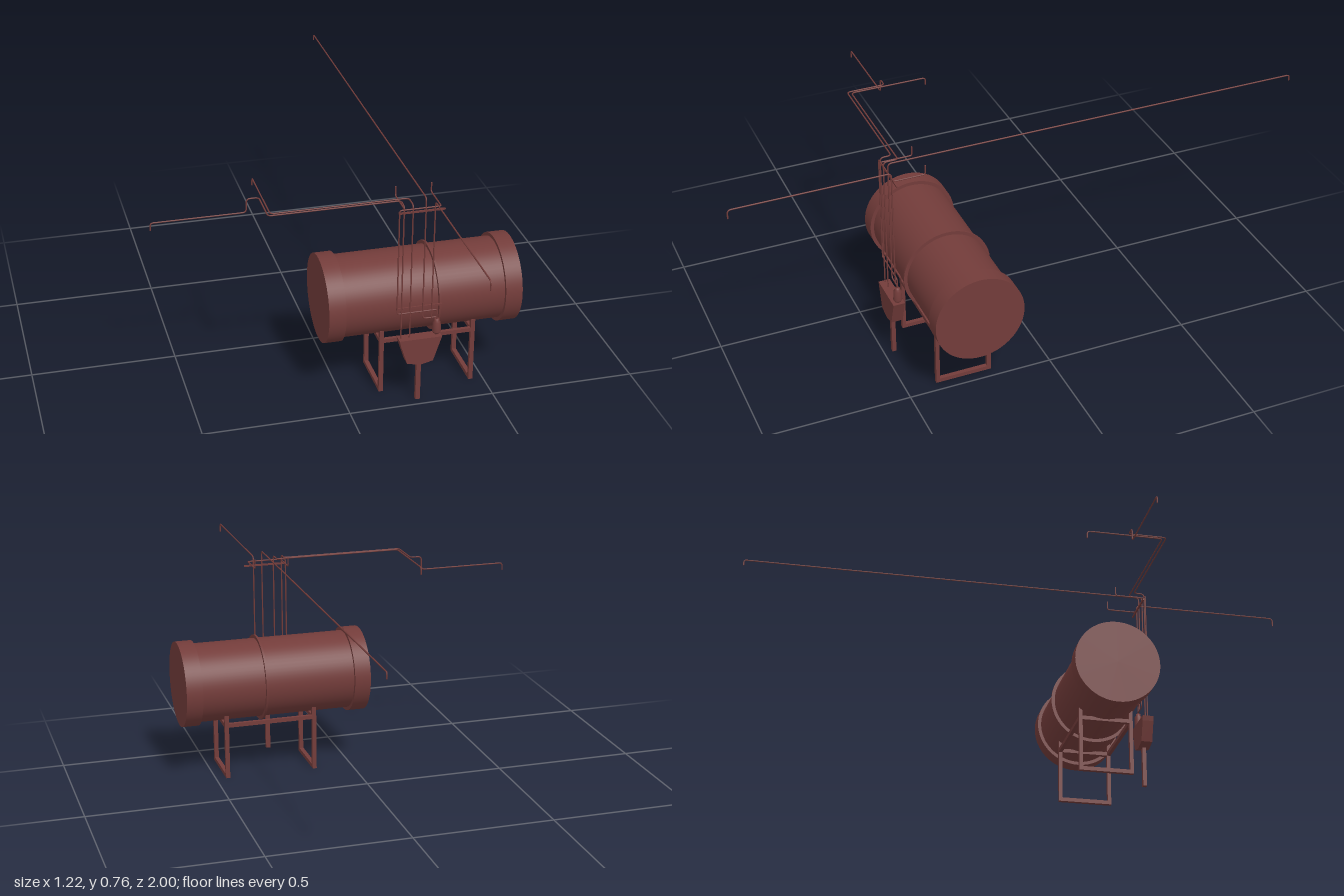
import * as THREE from 'three';

const mat = new THREE.MeshStandardMaterial({ color: 0x733c3a });

export function createModel() {
  const model = new THREE.Group();

  function add(name, geo, x = 0, y = 0, z = 0, parent = model) {
    const mesh = new THREE.Mesh(geo, mat);
    mesh.name = name;
    mesh.position.set(x, y, z);
    parent.add(mesh);
    return mesh;
  }
  const box = (name, w, h, d, x, y, z, parent) =>
    add(name, new THREE.BoxGeometry(w, h, d), x, y, z, parent);

  // Cylinder lying along x, between x0 and x1
  function drum(name, r, x0, x1) {
    const geo = new THREE.CylinderGeometry(r, r, x1 - x0, 64).rotateZ(Math.PI / 2);
    return add(name, geo, (x0 + x1) / 2, 0.337, 0.295);
  }

  // Thin pipe through corner points, with rounded bends and closed ends
  function pipe(name, pts, bend = 0.014, r = 0.0025) {
    const p = pts.map(a => new THREE.Vector3(...a));
    const path = new THREE.CurvePath();
    let from = p[0];
    for (let i = 1; i < p.length - 1; i++) {
      const b = Math.min(bend, p[i].distanceTo(p[i - 1]) * 0.45, p[i].distanceTo(p[i + 1]) * 0.45);
      const into = p[i].clone().add(p[i - 1].clone().sub(p[i]).setLength(b));
      const out = p[i].clone().add(p[i + 1].clone().sub(p[i]).setLength(b));
      path.add(new THREE.LineCurve3(from, into));
      path.add(new THREE.QuadraticBezierCurve3(into, p[i], out));
      from = out;
    }
    path.add(new THREE.LineCurve3(from, p[p.length - 1]));
    const steps = Math.ceil(path.getLength() / 0.005);
    path.arcLengthDivisions = steps * 2;
    const group = new THREE.Group();
    group.name = name;
    add(name + 'Tube', new THREE.TubeGeometry(path, steps, r, 8), 0, 0, 0, group);
    for (const end of [p[0], p[p.length - 1]])
      add(name + 'End', new THREE.SphereGeometry(r, 8, 6), end.x, end.y, end.z, group);
    model.add(group);
  }

  // Tank with wide end caps and a centre band
  drum('tankBody', 0.14, -0.03, 0.58);
  drum('tankCapRight', 0.152, -0.058, 0.0);
  drum('tankCapLeft', 0.152, 0.55, 0.608);
  drum('tankBand', 0.152, 0.317, 0.324);

  // Stand: two square frames joined by long rails
  const zs = [0.206, 0.388];
  for (const x of [0.137, 0.457]) {
    const frame = new THREE.Group();
    frame.name = 'legFrame';
    for (const z of zs) box('leg', 0.015, 0.237, 0.013, x, 0.1185, z, frame);
    for (const y of [0.007, 0.197]) box('crossRail', 0.015, 0.014, 0.182, x, y, 0.297, frame);
    model.add(frame);
  }
  for (const z of zs) box('longRail', 0.32, 0.014, 0.013, 0.297, 0.197, z);

  // Manifold box on its post
  const outline = new THREE.Shape([
    [0.172, 0.243], [0.176, 0.225], [0.199, 0.154], [0.244, 0.143],
    [0.289, 0.154], [0.312, 0.225], [0.318, 0.243],
  ].reverse().map(a => new THREE.Vector2(...a)));
  add('manifoldBox', new THREE.ExtrudeGeometry(outline, { depth: 0.04, bevelEnabled: false }), 0, 0, 0.444);
  box('manifoldPost', 0.016, 0.15, 0.014, 0.244, 0.075, 0.464);

  // Small filter bowl above the box
  const bowl = [[0, 0], [0.012, 0], [0.015, 0.006], [0.013, 0.04], [0.008, 0.046], [0.008, 0.052], [0, 0.052]]
    .map(a => new THREE.Vector2(...a));
  add('filterBowl', new THREE.LatheGeometry(bowl, 20), 0.304, 0.25, 0.464);
  add('filterStem', new THREE.CylinderGeometry(0.005, 0.005, 0.02, 10), 0.304, 0.245, 0.464);

  // Bars that hold the risers
  for (const y of [0.352, 0.704]) box('pipeBracket', 0.156, 0.006, 0.005, 0.243, y, 0.458);

  // Feed pipe with two upturned outlets
  const zr = 0.464;
  pipe('feedPipe', [[0.304, 0.3, zr], [0.304, 0.337, zr], [0.166, 0.337, zr], [0.166, 0.718, zr],
    [0.305, 0.718, zr], [0.305, 0.718, 0.357], [0.305, 0.75, 0.357]], 0.008);
  pipe('feedBranch', [[0.184, 0.718, zr], [0.184, 0.718, 0.357], [0.184, 0.75, 0.357]], 0.008);

  // Side runs toward the right
  pipe('sidePipeLong', [[0.181, 0.24, zr], [0.181, 0.733, zr], [0.181, 0.733, 0.426],
    [-0.254, 0.733, 0.426], [-0.254, 0.733, 0.292], [-0.295, 0.733, 0.292],
    [-0.295, 0.685, 0.292], [-0.608, 0.685, 0.292], [-0.608, 0.66, 0.292]]);
  pipe('sidePipeShort', [[0.211, 0.24, zr], [0.211, 0.733, zr], [0.211, 0.733, 0.414],
    [-0.244, 0.733, 0.414], [-0.244, 0.733, 0.146], [-0.244, 0.708, 0.146]]);

  // Long runs to the back and to the front
  pipe('backPipe', [[0.304, 0.295, zr], [0.304, 0.309, zr], [0.254, 0.309, zr], [0.254, 0.753, zr],
    [0.254, 0.753, -0.997], [0.254, 0.733, -0.997]]);
  pipe('frontPipe', [[0.285, 0.309, zr], [0.285, 0.735, zr], [0.285, 0.735, 0.997], [0.285, 0.705, 0.997]]);

  return model;
}
